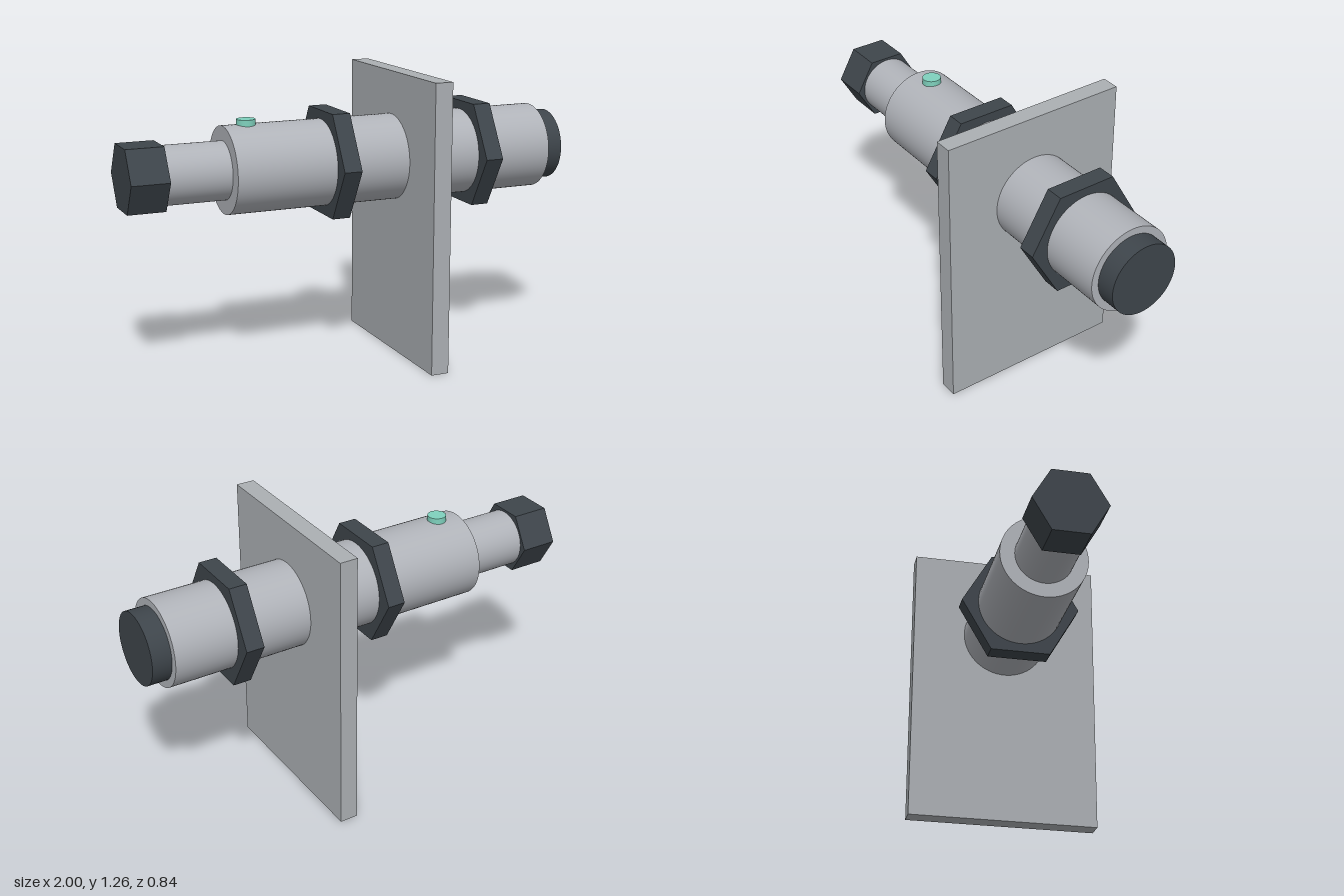
import * as THREE from 'three';

const AXIS_Y = 0.886;

const material = (name, color) => {
  const m = new THREE.MeshStandardMaterial({ color });
  m.name = name;
  return m;
};

export function createModel() {
  const group = new THREE.Group();
  const steel = material('steel', 0xb0b3b9);
  const plateGrey = material('plate grey', 0xabafb3);
  const dark = material('dark plastic', 0x3e454b);
  const mint = material('mint lamp', 0x7fd1bd);

  const add = (name, geometry, mat, x, y, z = 0) => {
    const mesh = new THREE.Mesh(geometry, mat);
    mesh.name = name;
    mesh.position.set(x, y, z);
    group.add(mesh);
  };

  // Cylinder or hexagonal prism along x, between x0 and x1
  const rod = (name, radius, x0, x1, mat, sides = 64) => {
    let geometry = new THREE.CylinderGeometry(radius, radius, x1 - x0, sides);
    geometry.rotateZ(-Math.PI / 2);
    if (sides === 6) {
      geometry = geometry.toNonIndexed();
      geometry.computeVertexNormals(); // crisp hexagon faces
    }
    add(name, geometry, mat, (x0 + x1) / 2, AXIS_Y);
  };

  // Sensor barrel, sensing face and cable end
  rod('barrel', 0.189, -0.56, 0.915, steel);
  rod('sensingFace', 0.157, 0.915, 1, dark);
  rod('connectorNeck', 0.126, -0.835, -0.56, steel);
  rod('connectorNut', 0.157, -1, -0.835, dark, 6);

  // Lock nuts on both sides of the plate
  rod('rearLockNut', 0.262, -0.116, -0.036, dark, 6);
  rod('frontLockNut', 0.262, 0.558, 0.638, dark, 6);

  // Mounting plate
  add('mountingPlate', new THREE.BoxGeometry(0.08, 1.264, 0.842), plateGrey, 0.26, 0.632);

  // Indicator lamp on top of the barrel
  add('indicatorLamp', new THREE.CylinderGeometry(0.041, 0.041, 0.04, 32), mint, -0.456, 1.078);

  return group;
}
